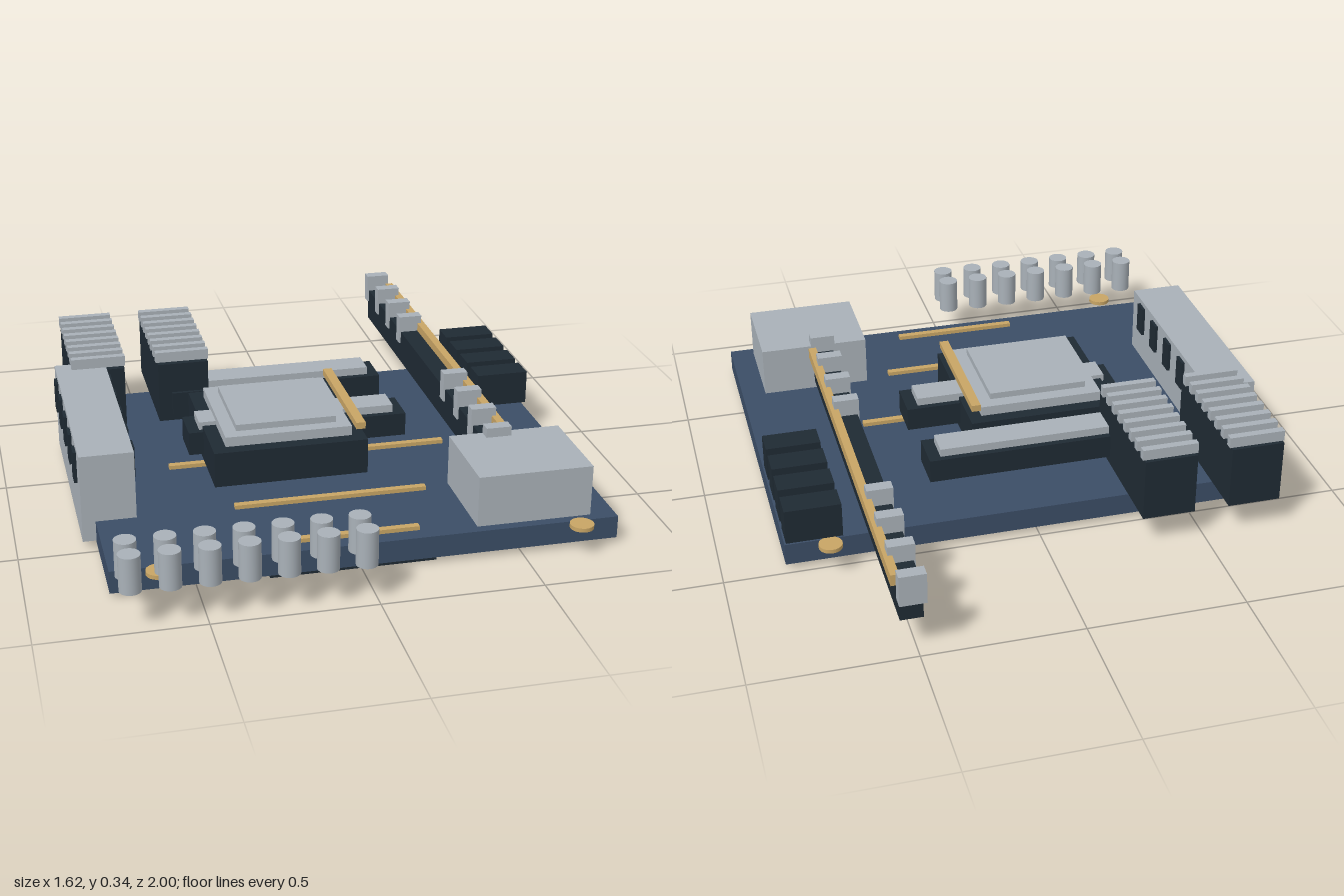
import * as THREE from 'three';

const material = (name, color) => {
  const m = new THREE.MeshStandardMaterial({ color });
  m.name = name;
  return m;
};

export function createModel() {
  const navy = material('navy board', 0x3b4d66);
  const dark = material('dark plastic', 0x1f2a33);
  const grey = material('grey metal', 0xa9b1b8);
  const gold = material('gold contact', 0xc8a565);

  const model = new THREE.Group();
  model.name = 'circuitBoard';

  // Box given by its limits on each axis
  function box(name, mat, [x0, x1], [y0, y1], [z0, z1]) {
    const mesh = new THREE.Mesh(new THREE.BoxGeometry(x1 - x0, y1 - y0, z1 - z0), mat);
    mesh.position.set((x0 + x1) / 2, (y0 + y1) / 2, (z0 + z1) / 2);
    mesh.name = name;
    model.add(mesh);
  }

  // Upright cylinder given by its bottom and top
  function post(name, mat, x, z, radius, [y0, y1]) {
    const mesh = new THREE.Mesh(new THREE.CylinderGeometry(radius, radius, y1 - y0, 24), mat);
    mesh.position.set(x, (y0 + y1) / 2, z);
    mesh.name = name;
    model.add(mesh);
  }

  box('board', navy, [-0.758, 0.805], [0.018, 0.09], [-0.48, 0.797]);

  // Gold traces on top, dark ribs below
  for (const [z, trace, rib] of [[0.158, 0.46, 0.558], [0.482, 0.306, 0.372], [0.737, 0.211, 0.257]]) {
    box('trace', gold, [-0.023 - trace, -0.023 + trace], [0.09, 0.103], [z - 0.011, z + 0.011]);
    box('bottomRib', dark, [-0.023 - rib, -0.023 + rib], [0, 0.018], [z - 0.042, z + 0.042]);
  }

  // Mounting discs
  for (const x of [-0.62, 0.67])
    for (const z of [-0.525, 0.84]) post('mountingDisc', gold, x, z, 0.037, [0.091, 0.104]);

  // Processor socket, lid and lever
  box('socket', dark, [-0.367, 0.129], [0.104, 0.22], [-0.14, 0.355]);
  box('processorBase', grey, [-0.323, 0.087], [0.22, 0.252], [-0.098, 0.312]);
  box('processorLid', grey, [-0.281, 0.045], [0.252, 0.273], [-0.053, 0.27]);
  box('socketLever', gold, [0.094, 0.124], [0.252, 0.274], [-0.118, 0.341]);

  // Two expansion slots
  for (const z of [-0.243, 0.09]) {
    box('expansionSlot', dark, [-0.415, 0.309], [0.13, 0.207], [z - 0.067, z + 0.067]);
    box('slotCover', grey, [-0.378, 0.27], [0.207, 0.233], [z - 0.047, z + 0.047]);
  }

  // Finned heatsinks
  for (const x of [-0.658, -0.375]) {
    box('heatsink', dark, [x - 0.085, x + 0.085], [0.104, 0.31], [-0.645, -0.188]);
    for (let i = 0; i < 8; i++) {
      const z = -0.62 + i * 0.057;
      box('heatsinkFin', grey, [x - 0.09, x + 0.09], [0.31, 0.345], [z - 0.012, z + 0.012]);
    }
  }

  // Connector housing with ports passing through
  box('portHousing', grey, [-0.8, -0.632], [0.025, 0.31], [-0.26, 0.476]);
  for (let i = 0; i < 5; i++) {
    const z = -0.165 + i * 0.136;
    box('port', dark, [-0.81, -0.622], [0.192, 0.293], [z - 0.027, z + 0.027]);
  }

  // Long memory slot with clips
  box('memorySlot', dark, [0.48, 0.55], [0.115, 0.228], [-0.97, 0.463]);
  box('memoryContact', gold, [0.542, 0.568], [0.22, 0.257], [-0.944, 0.44]);
  for (const start of [-0.98, 0.024])
    for (let i = 0; i < 4; i++) {
      const z = start + i * 0.1515;
      box('memoryClip', grey, [0.474, 0.556], [0.185, 0.285], [z - 0.02, z + 0.02]);
    }

  // Corner block and side connectors
  box('cornerBlock', grey, [0.364, 0.726], [0.09, 0.254], [0.459, 0.766]);
  for (let i = 0; i < 4; i++) {
    const z = -0.462 + i * 0.1235;
    box('sideConnector', dark, [0.627, 0.803], [0.112, 0.226], [z - 0.043, z + 0.043]);
  }

  // Two rows of capacitors
  for (let i = 0; i < 7; i++)
    for (const z of [0.879, 0.966]) post('capacitor', grey, -0.717 + i * 0.1138, z, 0.033, [0.119, 0.234]);

  return model;
}
